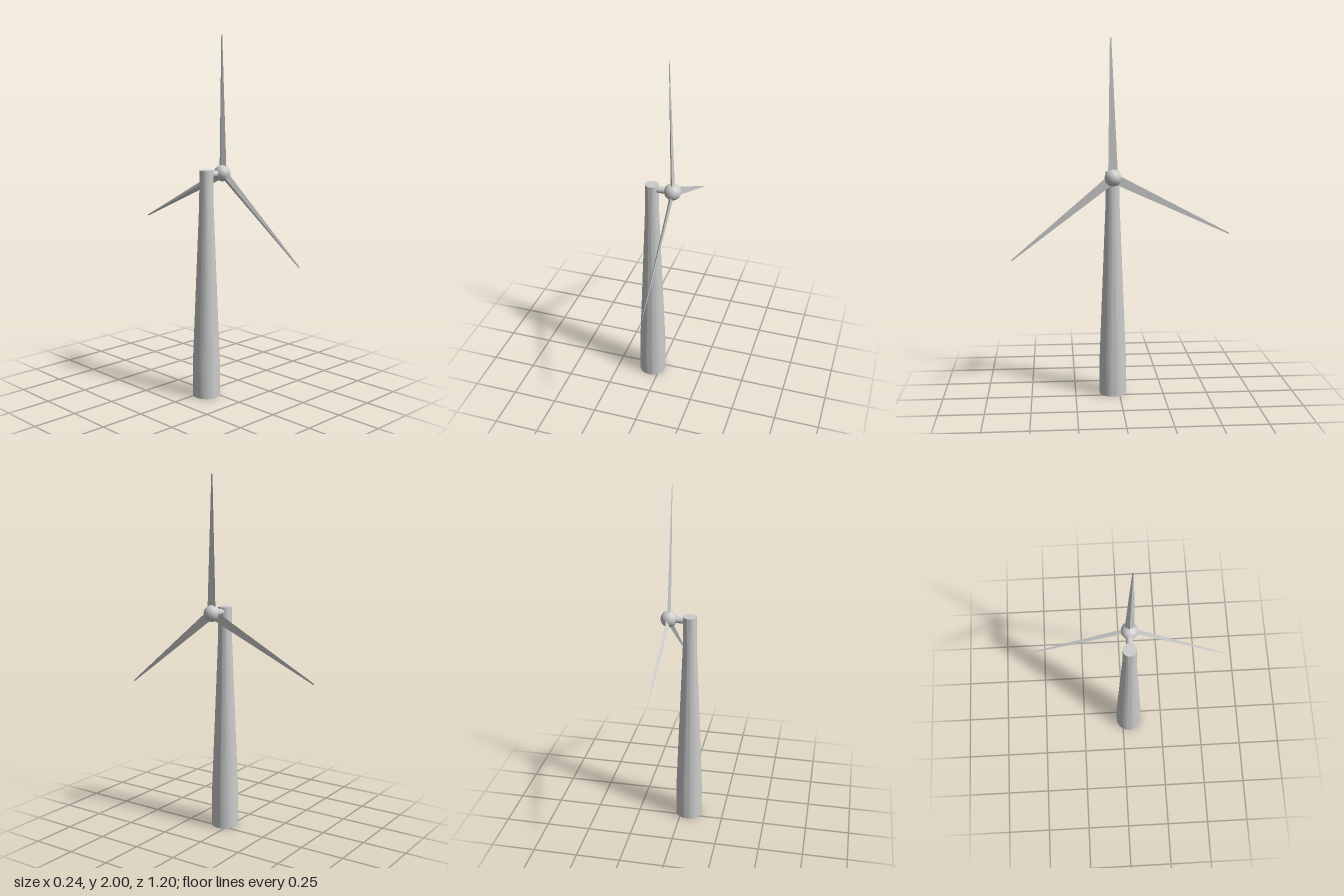
import * as THREE from 'three';
import { toCreasedNormals } from 'three/addons/utils/BufferGeometryUtils.js';

const grey = new THREE.MeshStandardMaterial({ color: 0xcccccc });
const greyFlat = new THREE.MeshStandardMaterial({ color: 0xcccccc, flatShading: true });

const HUB = new THREE.Vector3(0.072, 1.253, 0.042);

function addPart(parent, name, geometry, material = grey) {
  const mesh = new THREE.Mesh(geometry, material);
  mesh.name = name;
  parent.add(mesh);
  return mesh;
}

// Slim three-sided blade from the hub centre to its tip, flat side facing forward (+x)
function addBlade(parent, name, tip) {
  const along = tip.clone().sub(HUB);
  const length = along.length();
  along.normalize();
  const back = new THREE.Vector3(-1, 0, 0);
  back.addScaledVector(along, -back.dot(along)).normalize();
  const chord = new THREE.Vector3().crossVectors(along, back);

  const geometry = new THREE.CylinderGeometry(0.14, 1, length, 3);
  geometry.scale(0.054 / Math.sqrt(3), 1, 0.016 / 1.5);
  geometry.translate(0, length / 2, 0);
  const blade = addPart(parent, name, geometry, greyFlat);
  blade.quaternion.setFromRotationMatrix(new THREE.Matrix4().makeBasis(chord, along, back));
  blade.position.copy(HUB);
}

export function createModel() {
  const model = new THREE.Group();
  model.name = 'windTurbine';

  // Tower: straight foot, long taper, straight neck
  const profile = [[0, 0], [0.076, 0], [0.076, 0.19], [0.039, 1.1], [0.038, 1.277], [0, 1.277]]
    .map(([r, y]) => new THREE.Vector2(r, y));
  const tower = addPart(model, 'tower', toCreasedNormals(new THREE.LatheGeometry(profile, 48), 0.6));
  tower.position.set(-0.046, 0, 0.037);

  // Shaft from the tower to the hub
  const shaft = addPart(model, 'shaft', new THREE.CylinderGeometry(0.018, 0.018, 0.11, 24));
  shaft.rotation.z = Math.PI / 2;
  shaft.position.set(0.01, 1.252, 0.039);

  // Rotor: round hub and three blades, leaning slightly back at the top
  const rotor = new THREE.Group();
  rotor.name = 'rotor';
  model.add(rotor);
  addPart(rotor, 'hub', new THREE.SphereGeometry(0.046, 32, 20)).position.copy(HUB);
  addBlade(rotor, 'upperBlade', new THREE.Vector3(0.053, 2.0, 0.053));
  addBlade(rotor, 'frontBlade', new THREE.Vector3(0.08, 0.806, 0.598));
  addBlade(rotor, 'backBlade', new THREE.Vector3(0.077, 0.942, -0.598));

  return model;
}
